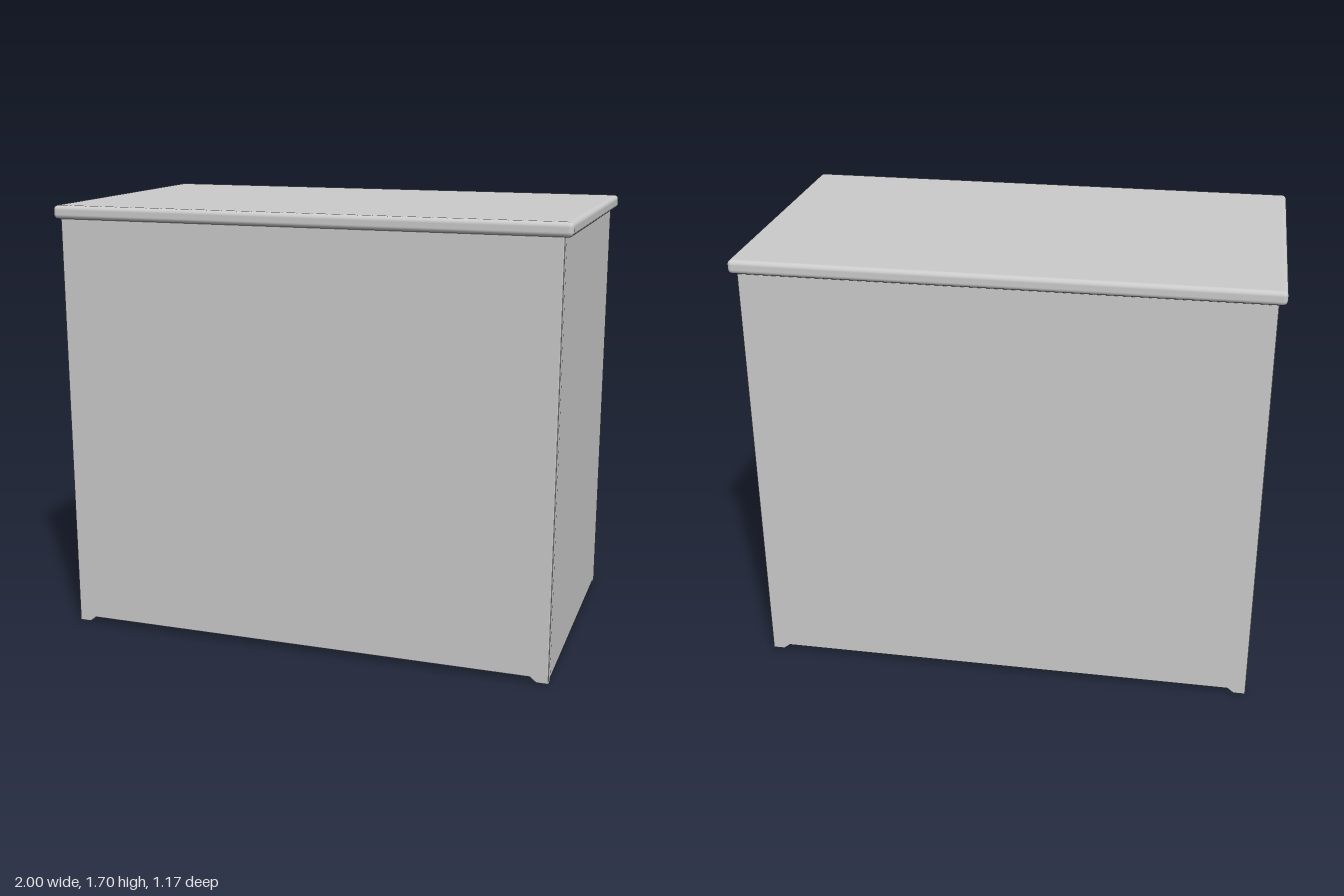
import * as THREE from 'three';
import { RoundedBoxGeometry } from 'three/addons/geometries/RoundedBoxGeometry.js';

const material = new THREE.MeshStandardMaterial({ color: 0xcccccc });

// Softly rounded board given by its minimum and maximum corners
function board(group, name, [x0, y0, z0], [x1, y1, z1], radius = 0.008) {
  const geometry = new RoundedBoxGeometry(x1 - x0, y1 - y0, z1 - z0, 3, radius);
  const mesh = new THREE.Mesh(geometry, material);
  mesh.position.set((x0 + x1) / 2, (y0 + y1) / 2, (z0 + z1) / 2);
  mesh.name = name;
  group.add(mesh);
  return mesh;
}

// Upright panel with a small foot at each lower corner
function footedPanel(group, name, z0, z1) {
  const s = new THREE.Shape();
  s.moveTo(-0.972, 0);
  s.lineTo(-0.925, 0);
  s.lineTo(-0.9, 0.02);
  s.lineTo(0.9, 0.02);
  s.lineTo(0.925, 0);
  s.lineTo(0.972, 0);
  s.lineTo(0.972, 1.66);
  s.lineTo(-0.972, 1.66);
  s.closePath();
  const b = 0.006;
  const geometry = new THREE.ExtrudeGeometry(s, {
    depth: z1 - z0 - 2 * b, bevelThickness: b, bevelSize: b, bevelOffset: -b, bevelSegments: 2,
  });
  const mesh = new THREE.Mesh(geometry, material);
  mesh.position.z = z0 + b;
  mesh.name = name;
  group.add(mesh);
}

export function createModel() {
  const group = new THREE.Group();
  group.name = 'cabinet';

  // Outer case: open only at the model's right end (-x)
  board(group, 'top', [-1, 1.65, -0.585], [1, 1.703, 0.582], 0.018);
  footedPanel(group, 'frontPanel', 0.535, 0.57);
  footedPanel(group, 'backPanel', -0.562, -0.53);
  board(group, 'sidePanel', [0.935, 0.008, -0.56], [0.972, 1.66, 0.545]);

  // Raised floor and the upright that backs the open shelves
  board(group, 'floor', [-0.97, 0.14, -0.54], [0.95, 0.17, 0.545]);
  board(group, 'divider', [-0.35, 0.12, -0.54], [-0.325, 1.66, 0.545]);

  // Shelves in the open end
  board(group, 'upperShelf', [-0.97, 1.325, -0.54], [-0.34, 1.355, 0.545]);
  board(group, 'middleShelf', [-0.91, 0.93, -0.54], [-0.34, 0.96, 0.545]);

  // Guard rails along the edge of the middle shelf
  for (const [x, y] of [[-0.955, 1.0], [-0.935, 0.95]]) {
    const rail = new THREE.Mesh(new THREE.CylinderGeometry(0.014, 0.014, 1.08, 12), material);
    rail.rotation.x = Math.PI / 2;
    rail.position.set(x, y, 0);
    rail.name = 'shelfRail';
    group.add(rail);
  }
  const railEnd = new THREE.Mesh(new THREE.SphereGeometry(0.025, 14, 10), material);
  railEnd.position.set(-0.955, 1.005, 0.515);
  railEnd.name = 'railEnd';
  group.add(railEnd);

  return group;
}
